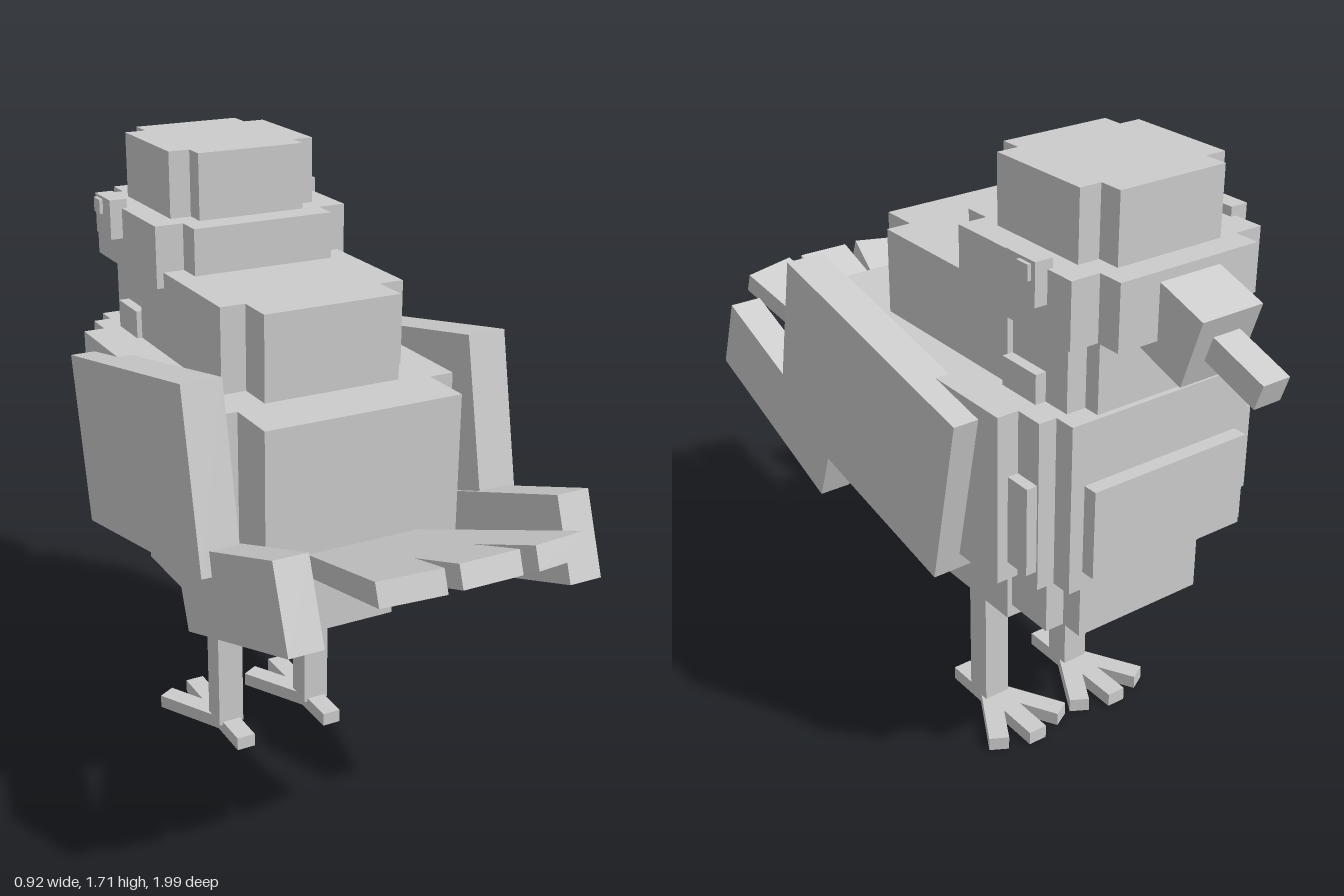
import * as THREE from 'three';

const grey = new THREE.MeshStandardMaterial({ color: 0xcccccc });
grey.name = 'light grey';

// Box from centre and size, tilted about x and fanned about y
function block(name, size, centre, tilt = 0, fan = 0) {
  const mesh = new THREE.Mesh(new THREE.BoxGeometry(...size), grey);
  mesh.name = name;
  mesh.position.set(...centre);
  mesh.rotation.set(tilt, fan, 0);
  return mesh;
}

// Box symmetric about x = 0, given half width and y, z ranges
function slab(name, half, y0, y1, z0, z1) {
  return block(name, [half * 2, y1 - y0, z1 - z0], [0, (y0 + y1) / 2, (z0 + z1) / 2]);
}

function part(name, ...children) {
  const g = new THREE.Group();
  g.name = name;
  g.add(...children);
  return g;
}

export function createModel() {
  const model = new THREE.Group();
  model.name = 'bird';

  // Stepped body, from belly up to neck
  model.add(part('belly',
    slab('bellyWide', 0.265, 0.485, 0.72, -0.38, 0.145),
    slab('bellyNarrow', 0.195, 0.485, 0.72, -0.48, 0.25),
    slab('bellyFrontWide', 0.25, 0.52, 0.72, -0.525, -0.3),
    slab('bellyFrontNarrow', 0.195, 0.52, 0.72, -0.59, -0.3)));
  model.add(part('body',
    slab('bodyWide', 0.35, 0.715, 1.172, -0.22, 0.27),
    slab('bodyNarrow', 0.28, 0.715, 1.172, -0.65, 0.42),
    slab('shoulders', 0.39, 0.715, 1.172, -0.51, -0.22),
    slab('chest', 0.33, 0.715, 1.172, -0.59, -0.5),
    slab('breastPlate', 0.24, 0.765, 1.005, -0.69, -0.64),
    slab('sidePlates', 0.36, 0.765, 1.005, -0.585, -0.505)));
  model.add(part('neck',
    slab('neckWide', 0.265, 1.17, 1.403, -0.38, 0.145),
    slab('neckNarrow', 0.195, 1.17, 1.403, -0.48, 0.25),
    slab('collar', 0.28, 1.17, 1.25, -0.51, -0.38),
    slab('throatWide', 0.25, 1.17, 1.37, -0.59, -0.3),
    slab('throatNarrow', 0.195, 1.17, 1.37, -0.635, -0.3)));

  // Head, crown and beak
  model.add(part('head',
    slab('headWide', 0.285, 1.36, 1.53, -0.64, -0.21),
    slab('headNarrow', 0.205, 1.36, 1.53, -0.71, -0.138),
    slab('crownWide', 0.215, 1.53, 1.71, -0.575, -0.27),
    slab('crownNarrow', 0.155, 1.53, 1.71, -0.64, -0.213)));
  model.add(part('beak',
    block('beakBase', [0.18, 0.19, 0.17], [0, 1.393, -0.742], -0.32),
    block('beakTip', [0.08, 0.07, 0.17], [0, 1.342, -0.905], -0.33)));

  // Tail feathers fanned from one pivot
  const tail = part('tail');
  for (const s of [-1, 0, 1]) {
    const feather = part('tailFeather', block('feather', [0.16, 0.06, 0.7], [0, 0, 0.25]));
    feather.position.x = s * 0.077;
    feather.rotation.y = s * 0.205;
    tail.add(feather);
  }
  tail.position.set(0, 0.785, 0.415);
  tail.rotation.x = -0.35;
  model.add(tail);

  // Paired parts
  for (const s of [1, -1]) {
    const side = s > 0 ? 'left' : 'right';
    model.add(part(side + 'Eye',
      block('eye', [0.05, 0.11, 0.11], [s * 0.295, 1.5, -0.5]),
      block('pupil', [0.02, 0.04, 0.042], [s * 0.32, 1.527, -0.52])));
    model.add(part(side + 'Wing',
      block('wing', [0.11, 0.48, 0.786], [s * 0.405, 0.98, 0], -0.205),
      block('wingTip', [0.092, 0.223, 0.59], [s * 0.386, 0.807, 0.52], -0.353)));

    // Leg with one back toe and three spread front toes
    const leg = part(side + 'Leg',
      block('shin', [0.078, 0.47, 0.075], [0, 0.265, -0.128]),
      block('backToe', [0.056, 0.04, 0.17], [0, 0.02, -0.075]));
    for (const t of [-1, 0, 1]) {
      const a = t * 0.51;
      const len = t ? 0.225 : 0.23;
      leg.add(block('frontToe', [0.056, 0.04, len],
        [Math.sin(a) * len / 2, 0.02, -0.13 - Math.cos(a) * len / 2], 0, -a));
    }
    leg.position.x = s * 0.143;
    model.add(leg);
  }
  return model;
}
